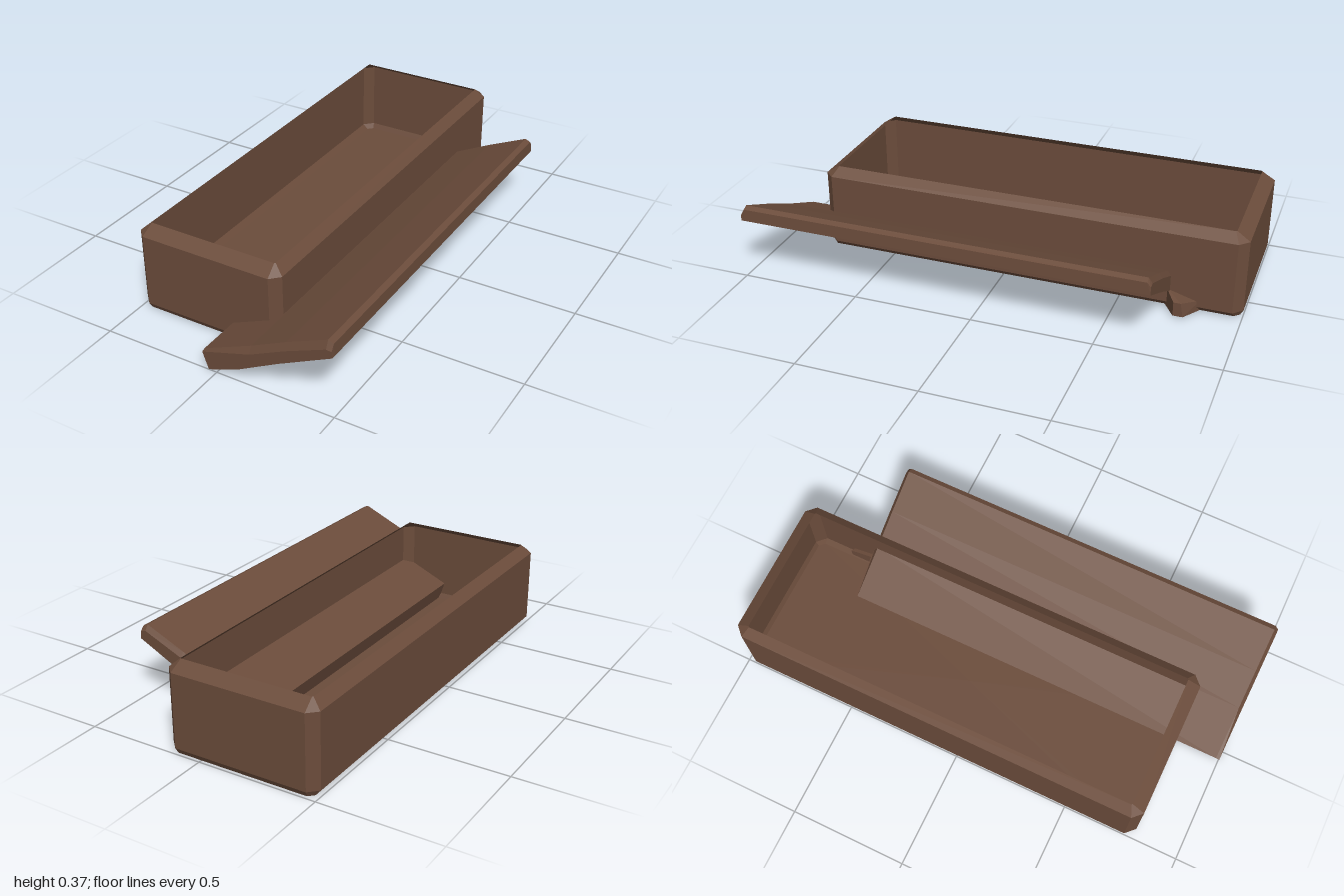
import * as THREE from 'three';
import { ConvexGeometry } from 'three/addons/geometries/ConvexGeometry.js';

const wood = new THREE.MeshStandardMaterial({ color: 0x6b4c3b, side: THREE.DoubleSide });
wood.name = 'brown wood';

// Joins cross-sections (counter-clockwise seen from the end); the last end may stay open
function loft(rings, closed) {
  const pos = [];
  const tri = (...pts) => pts.forEach((p) => pos.push(...p));
  const n = rings[0].length;
  const centre = (r) => [0, 1, 2].map((k) => r.reduce((s, p) => s + p[k], 0) / n);
  const first = rings[0], last = rings[rings.length - 1];
  for (let i = 0; i < n; i++) {
    const j = (i + 1) % n;
    for (let r = 0; r < rings.length - 1; r++) {
      const a = rings[r], b = rings[r + 1];
      tri(a[i], a[j], b[j]);
      tri(a[i], b[j], b[i]);
    }
    tri(centre(first), first[j], first[i]);
    if (closed) tri(centre(last), last[i], last[j]);
  }
  const geo = new THREE.BufferGeometry();
  geo.setAttribute('position', new THREE.Float32BufferAttribute(pos, 3));
  geo.computeVertexNormals();
  return geo;
}

// Rectangle with cut corners, inset from the outer footprint of the box
function boxRing(insetX, insetZ, cut, y) {
  const x0 = -0.5 + insetX, x1 = 0.145 - insetX;
  const z0 = -1 + insetZ, z1 = 0.805 - insetZ;
  return [
    [x1 - cut, y, z1], [x1, y, z1 - cut], [x1, y, z0 + cut], [x1 - cut, y, z0],
    [x0 + cut, y, z0], [x0, y, z0 + cut], [x0, y, z1 - cut], [x0 + cut, y, z1],
  ];
}

export function createModel() {
  const model = new THREE.Group();
  model.name = 'openBoxWithLid';
  const add = (name, geo) => {
    const mesh = new THREE.Mesh(geo, wood);
    mesh.name = name;
    model.add(mesh);
  };

  // Open box: a thin shell with bevelled edges, its rim sloping inwards
  add('box', loft([
    boxRing(0.02, 0.012, 0.022, 0.005),
    boxRing(0, 0, 0.038, 0.028),
    boxRing(0, 0, 0.038, 0.335),
    boxRing(0.04, 0.055, 0.004, 0.371),
  ], false));

  // Lid leaning through the side wall, with its upper edge bevelled at both ends
  const profile = [
    [-0.035, 0.003], [0.1, 0.056], [0.27, 0.148], [0.495, 0.26], [0.492, 0.31],
    [0.47, 0.32], [0.3, 0.245], [0.15, 0.172], [-0.06, 0.08],
  ];
  const drop = [0, 0, 0, 0, 0.025, 0.032, 0.03, 0.03, 0.005];
  const lidRing = (z, bevel) => profile.map(([x, y], i) => [x, y - drop[i] * bevel, z]);
  add('lid', loft([lidRing(-0.71, 0.7), lidRing(-0.695, 0), lidRing(0.985, 0), lidRing(1, 1)], true));

  // Small broken wedge sticking out beside the back end of the lid
  add('splinter', new ConvexGeometry([
    [0.13, 0.006, -0.83], [0.13, 0.05, -0.83], [0.13, 0.006, -0.69], [0.13, 0.09, -0.69],
    [0.21, 0.01, -0.78], [0.21, 0.07, -0.77], [0.21, 0.01, -0.74], [0.21, 0.07, -0.74],
  ].map((p) => new THREE.Vector3(...p))));

  return model;
}
